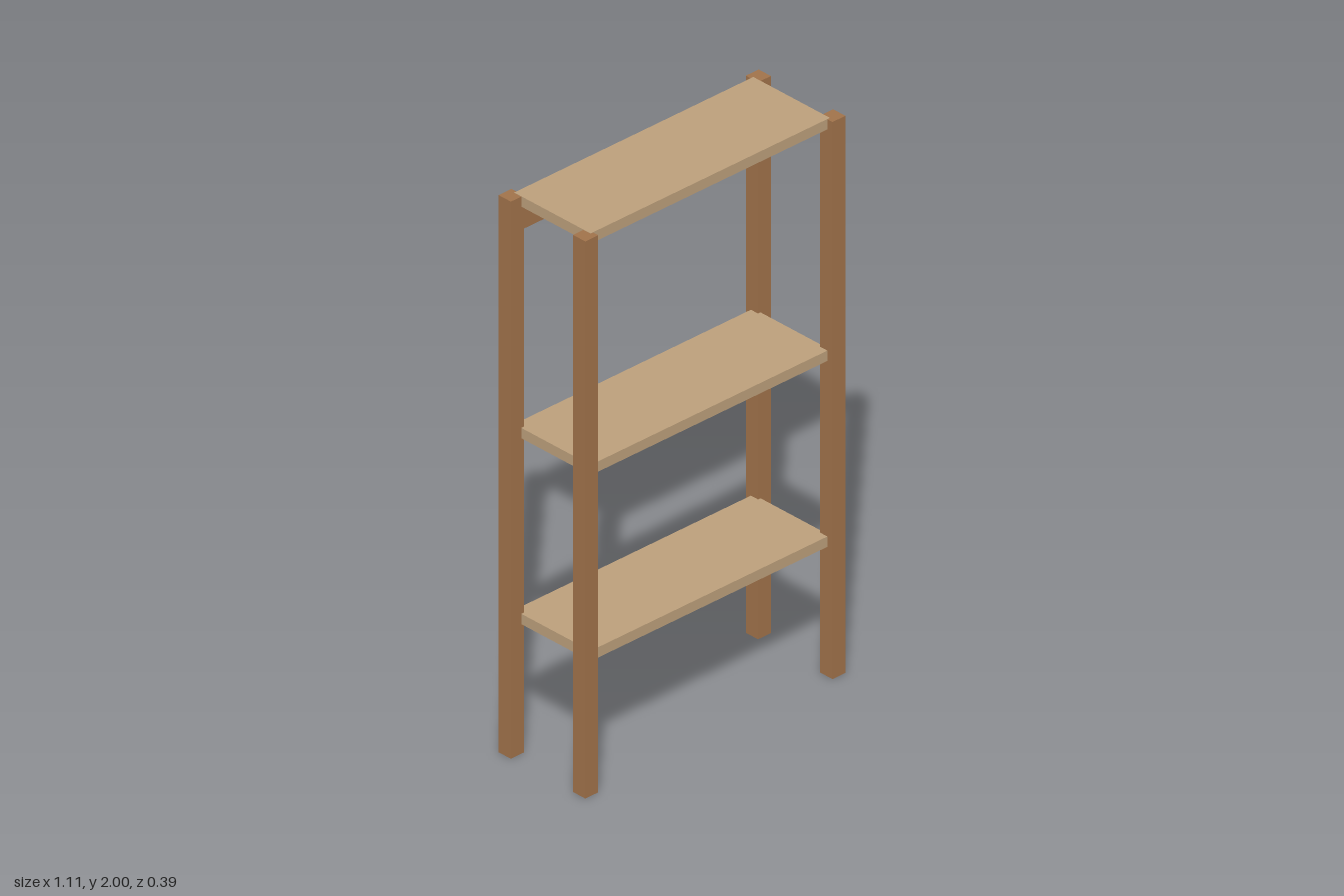
import * as THREE from 'three';

export function createModel() {
  const model = new THREE.Group();
  model.name = 'shelfRack';

  const frameWood = new THREE.MeshStandardMaterial({ color: 0xa0724a });
  frameWood.name = 'frame wood';
  const shelfWood = new THREE.MeshStandardMaterial({ color: 0xbc9f7b });
  shelfWood.name = 'shelf wood';

  // Box whose top face lies at the given height
  const board = (name, material, [w, h, d], x, top, z) => {
    const mesh = new THREE.Mesh(new THREE.BoxGeometry(w, h, d), material);
    mesh.name = name;
    mesh.position.set(x, top - h / 2, z);
    model.add(mesh);
  };

  // Four corner posts
  for (const [side, x] of [['Left', 0.527], ['Right', -0.527]]) {
    for (const [end, z] of [['front', 0.167], ['back', -0.167]]) {
      board(`${end}${side}Post`, frameWood, [0.055, 1.999, 0.055], x, 1.999, z);
    }
  }

  // Three shelves, their corners let into the posts
  [['lowerShelf', 0.502], ['middleShelf', 1.169], ['topShelf', 2]].forEach(([name, top]) =>
    board(name, shelfWood, [1.02, 0.037, 0.343], 0, top, 0));

  // Rail under the back edge of the top shelf
  board('backRail', frameWood, [1.02, 0.092, 0.037], 0, 1.961, -0.171);

  return model;
}
